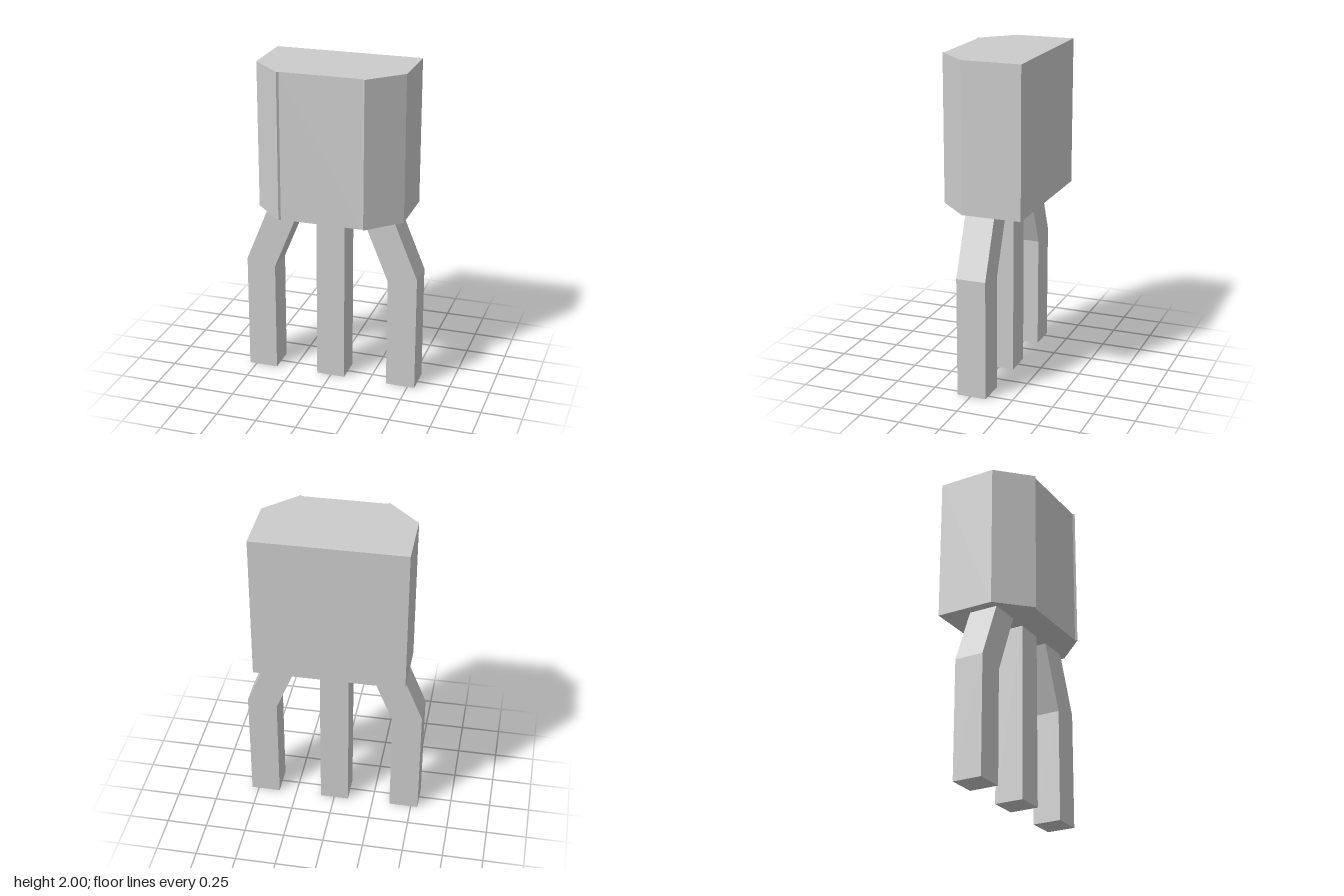
import * as THREE from 'three';

const grey = new THREE.MeshStandardMaterial({ color: 0xcccccc });
grey.name = 'plain grey';

function shapeFrom(points) {
  return new THREE.Shape(points.map(([x, y]) => new THREE.Vector2(x, y)));
}

function addPart(group, name, geometry) {
  const mesh = new THREE.Mesh(geometry, grey);
  mesh.name = name;
  group.add(mesh);
  return mesh;
}

export function createModel() {
  const model = new THREE.Group();
  model.name = 'transistor';

  // Casing: chamfered plan with a small lip at each front corner, extruded upwards
  const half = [[0.455, -0.28], [0.455, 0.083], [0.262, 0.276], [0.251, 0.265]];
  const plan = [...half, ...half.slice().reverse().map(([x, z]) => [-x, z])];
  const casing = new THREE.ExtrudeGeometry(
    shapeFrom(plan.map(([x, z]) => [x, -z])),
    { depth: 0.905, bevelEnabled: false }
  );
  casing.rotateX(-Math.PI / 2);
  casing.translate(0, 1.095, 0);
  addPart(model, 'casing', casing);

  // Legs: flat outlines extruded front to back
  const legZ = -0.097, legDepth = 0.181;
  const leg = (name, points) => {
    const geometry = new THREE.ExtrudeGeometry(shapeFrom(points), { depth: legDepth, bevelEnabled: false });
    geometry.translate(0, 0, legZ);
    addPart(model, name, geometry);
  };
  leg('middleLeg', [[-0.09, 0], [0.088, 0], [0.088, 1.1], [-0.09, 1.1]]);
  for (const [name, s] of [['leftLeg', 1], ['rightLeg', -1]]) {
    leg(name, [
      [0.362, 0], [0.544, 0], [0.544, 0.733],
      [0.393, 1.1], [0.198, 1.1], [0.362, 0.7],
    ].map(([x, y]) => [s * x, y]));
  }
  return model;
}
